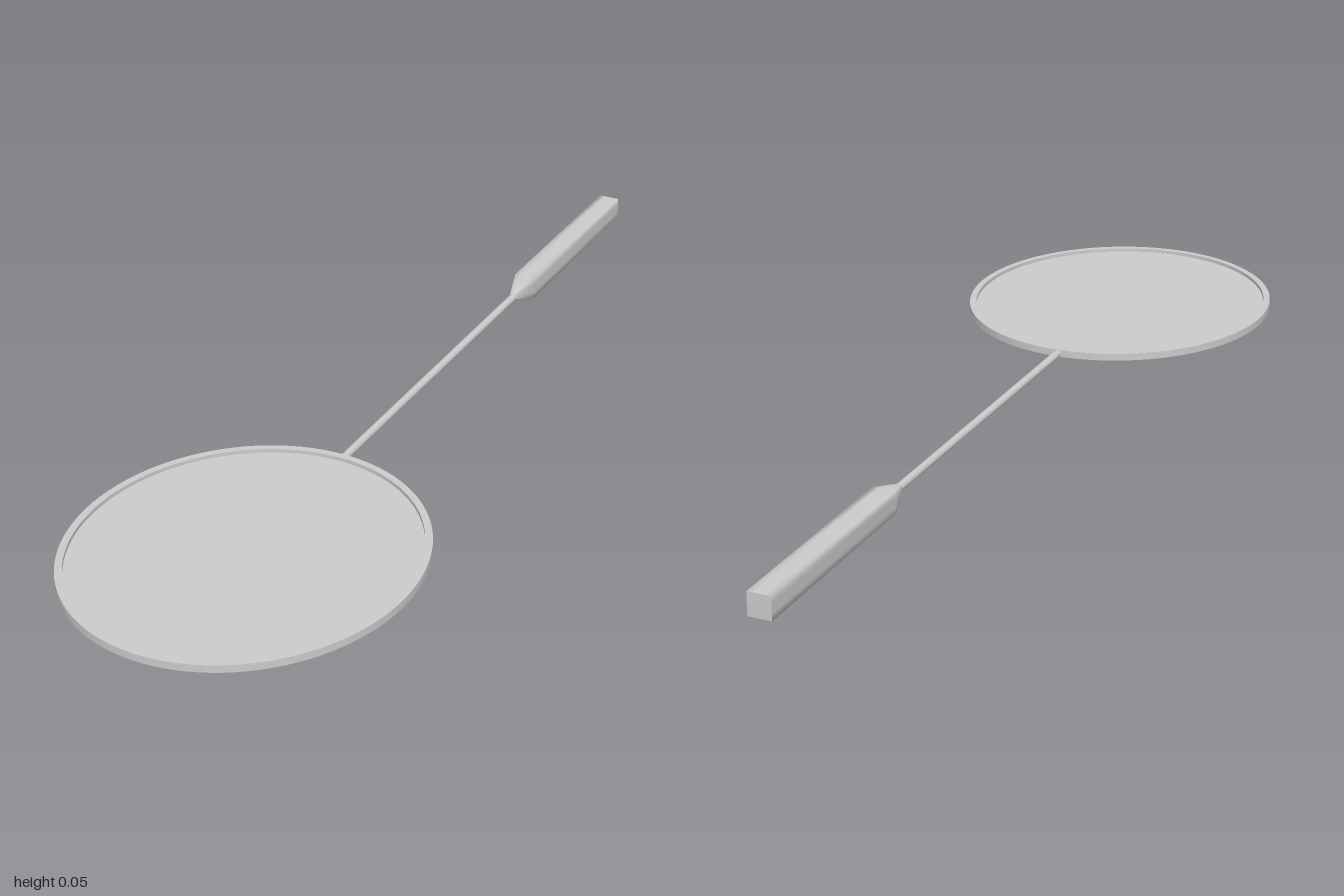
import * as THREE from 'three';
import { toCreasedNormals } from 'three/addons/utils/BufferGeometryUtils.js';

const MID = 0.024;                       // height of the racket's centre plane
const HEAD = { z: 0.637, rx: 0.327, rz: 0.363, rim: 0.014, depth: 0.015 };

const material = () => new THREE.MeshStandardMaterial({ color: 0xcccccc, side: THREE.DoubleSide });

function addMesh(group, name, geometry) {
  const mesh = new THREE.Mesh(geometry, material());
  mesh.name = name;
  group.add(mesh);
  return mesh;
}

// Sweep sections [z, half width, squareness 0..1] along z, smooth around the sides
function loft(sections, sides = 16) {
  const positions = [], index = [];
  for (const [z, r, square] of sections) {
    for (let i = 0; i < sides; i++) {
      const a = (i / sides) * Math.PI * 2;
      const c = Math.cos(a), s = Math.sin(a);
      const k = r * (1 + square * (1 / Math.max(Math.abs(c), Math.abs(s)) - 1));
      positions.push(c * k, s * k, z);
    }
  }
  for (let j = 0; j < sections.length - 1; j++) {
    for (let i = 0; i < sides; i++) {
      const a = j * sides + i, b = j * sides + (i + 1) % sides;
      index.push(a, b, b + sides, a, b + sides, a + sides);
    }
  }
  const geometry = new THREE.BufferGeometry();
  geometry.setAttribute('position', new THREE.Float32BufferAttribute(positions, 3));
  geometry.setIndex(index);
  geometry.computeVertexNormals();
  return geometry;
}

const ellipse = (Type, inset) =>
  new Type().absellipse(0, 0, HEAD.rx - inset, HEAD.rz - inset, 0, Math.PI * 2, false, 0);

export function createModel() {
  const model = new THREE.Group();
  model.name = 'racket';

  // Oval rim of the head
  const outline = ellipse(THREE.Shape, 0);
  outline.holes.push(ellipse(THREE.Path, HEAD.rim));
  const rimGeometry = new THREE.ExtrudeGeometry(outline, {
    depth: HEAD.depth, bevelEnabled: false, curveSegments: 48,
  });
  rimGeometry.translate(0, 0, -HEAD.depth / 2).rotateX(-Math.PI / 2);
  addMesh(model, 'headRim', toCreasedNormals(rimGeometry, 0.6)).position.set(0, MID + 0.001, HEAD.z);

  // Thin string bed stretched inside the rim
  const bedGeometry = new THREE.ShapeGeometry(ellipse(THREE.Shape, HEAD.rim / 2), 48);
  bedGeometry.rotateX(-Math.PI / 2);
  addMesh(model, 'stringBed', bedGeometry).position.set(0, MID + 0.001, HEAD.z);

  // Slim round shaft
  addMesh(model, 'shaft', loft([[-0.5, 0.008, 0], [0.28, 0.008, 0]])).position.y = MID;

  // Square grip tapering into the shaft
  addMesh(model, 'grip', loft([
    [-1, 0.023, 1], [-0.54, 0.023, 1], [-0.482, 0.009, 0], [-0.48, 0.007, 0],
  ])).position.y = MID;

  // Flat butt of the grip
  const butt = addMesh(model, 'gripEnd', new THREE.PlaneGeometry(0.046, 0.046));
  butt.rotation.y = Math.PI;
  butt.position.set(0, MID, -1);

  // Stand the model on the ground
  const box = new THREE.Box3().setFromObject(model);
  for (const part of model.children) part.position.y -= box.min.y;
  return model;
}
